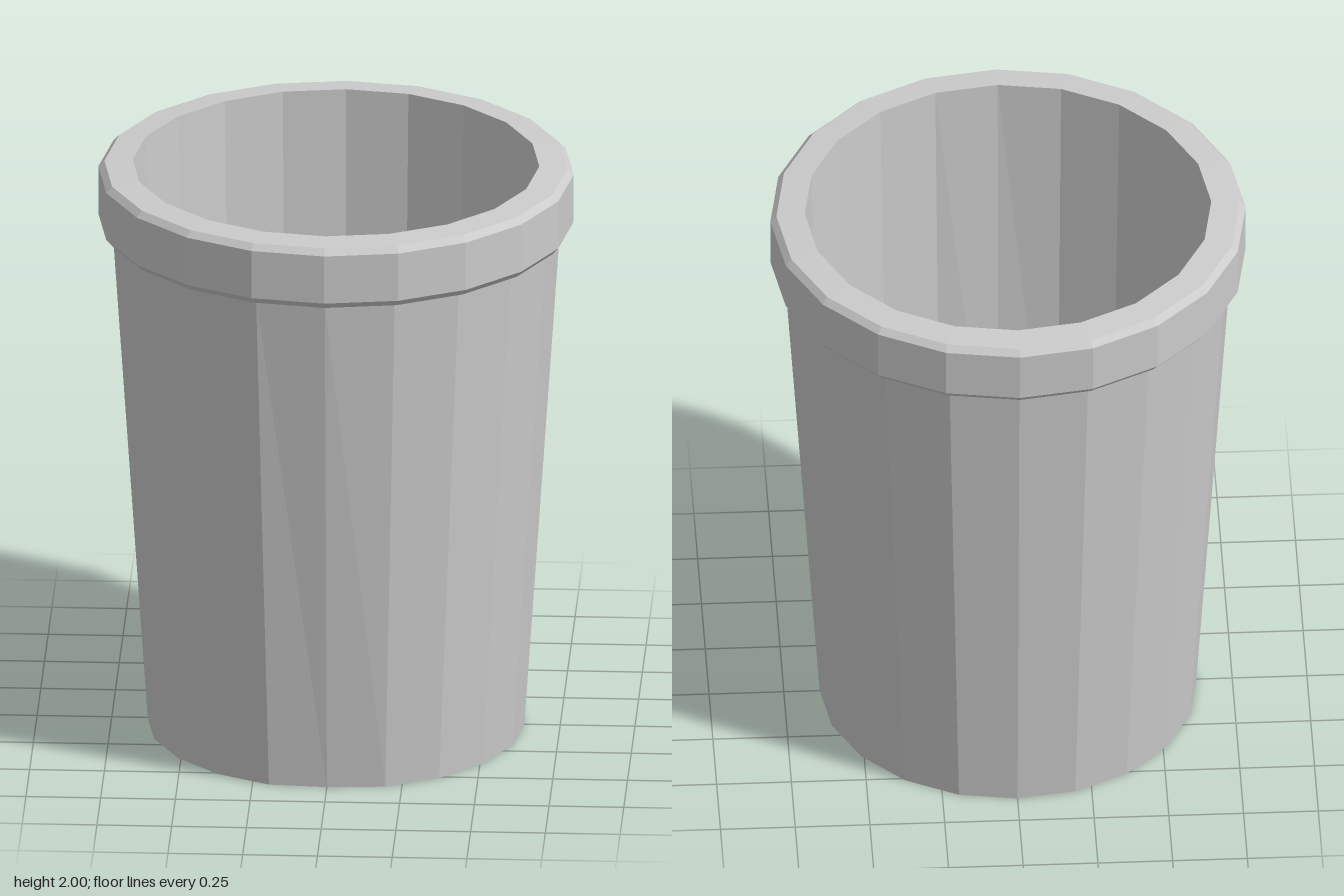
import * as THREE from 'three';

const SIDES = 20;
const BASE_R = 0.63;

export function createModel() {
  const group = new THREE.Group();
  const material = new THREE.MeshStandardMaterial({ color: 0xcccccc, flatShading: true });

  // Revolve a [radius, height] profile; the front corner of the base is pushed in slightly
  function addLathe(name, profile) {
    const geometry = new THREE.LatheGeometry(profile.map(([r, y]) => new THREE.Vector2(r, y)), SIDES);
    const pos = geometry.attributes.position;
    for (let i = 0; i < pos.count; i++) {
      if (pos.getY(i) < 0.001 && pos.getZ(i) > BASE_R - 0.002) pos.setZ(i, 0.613);
    }
    geometry.computeVertexNormals();
    const mesh = new THREE.Mesh(geometry, material);
    mesh.name = name;
    group.add(mesh);
  }

  // Flat underside
  addLathe('base', [[0, 0], [BASE_R, 0]]);

  // Tapered outside wall
  addLathe('outerWall', [[BASE_R, 0], [0.75, 1.785]]);

  // Bevelled band around the mouth
  addLathe('rim', [
    [0.75, 1.785], [0.775, 1.78], [0.795, 1.803],
    [0.795, 1.972], [0.775, 1.993], [0.68, 2],
  ]);

  // Inside wall and floor, facing into the cup
  addLathe('innerWall', [[0.68, 2], [BASE_R, 0]]);
  addLathe('floor', [[BASE_R, 0], [0, 0]]);

  return group;
}
